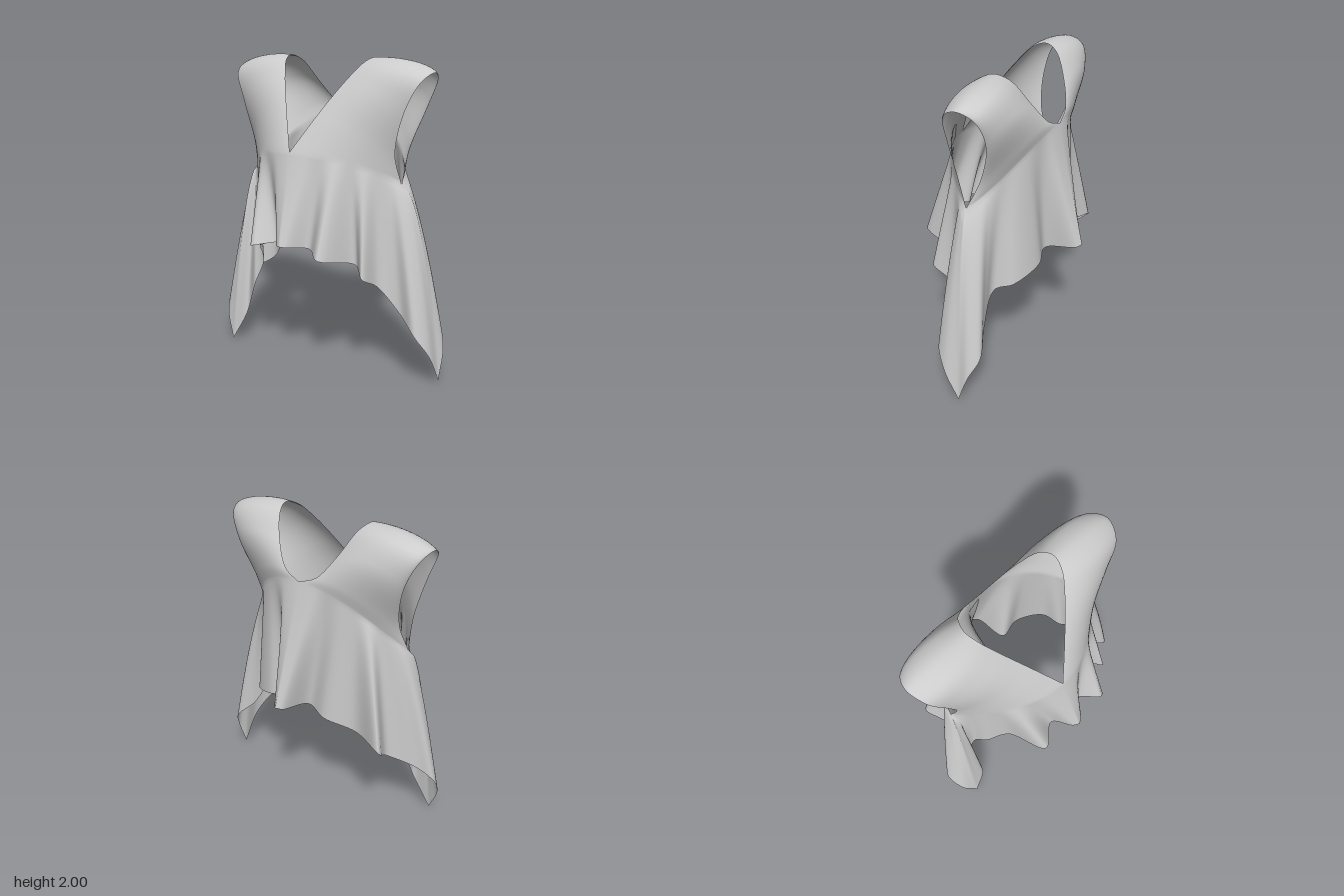
import * as THREE from 'three';
import { mergeGeometries, mergeVertices } from 'three/addons/utils/BufferGeometryUtils.js';

const CX = -0.035; // middle line of the neckline
const NU = 64, NV = 28, NT = 56;
const V = (x, y, z) => new THREE.Vector3(x, y, z);
const curve = (pts) => new THREE.CatmullRomCurve3(pts.map((p) => V(...p)));
// pulls the columns towards the side, where the hem is longest
const across = (u) => 1 - Math.pow(1 - u, 1.9);

// Edges of one half of the yoke, measured from the middle line
const neckline = curve([
  [0, 1.45, 0.36], [0.13, 1.69, 0.225], [0.24, 1.88, 0.1], [0.3, 1.975, 0.01], [0.32, 2, -0.07],
  [0.295, 1.965, -0.15], [0.22, 1.82, -0.24], [0.12, 1.69, -0.3], [0, 1.64, -0.32],
]);
const armhole = curve([
  [0.57, 1.26, 0], [0.555, 1.45, 0.06], [0.62, 1.7, 0.08], [0.7, 1.87, 0.045], [0.735, 1.925, -0.06],
  [0.71, 1.88, -0.15], [0.635, 1.72, -0.175], [0.56, 1.45, -0.09], [0.57, 1.26, 0],
]);

// Seam at bust height: a rounded quarter from the middle to the underarm
const seam = (y, z, power) => (s) => {
  const c = 1 - s * s;
  return V(0.57 * s, 1.26 + (y - 1.26) * Math.pow(c, 0.75), z * Math.pow(c, power));
};
const chest = seam(1.45, 0.36, 0.9);
const back = seam(1.64, -0.32, 0.6);
// how far a seam bows out from the straight line between its ends
const bow = (edge, s) => edge(s).sub(edge(0).lerp(edge(1), s));

// Folds in the middle of the hem, the same on both sides
const frontFolds = [
  [0, 0.9, 0.52], [0.04, 0.895, 0.495], [0.12, 0.875, 0.38], [0.26, 0.85, 0.48], [0.36, 0.78, 0.23],
];
const backFolds = [
  [0, 0.86, -0.52], [0.035, 0.85, -0.49], [0.08, 0.82, -0.3], [0.23, 0.79, -0.33], [0.42, 0.73, -0.25],
];

// Hanging corners of the hem, ending in a shared tip on each side
const corners = [
  {
    side: 1, tip: [0.805, 0.02, -0.06],
    front: [[0.46, 0.73, 0.31], [0.48, 0.64, 0.16], [0.6, 0.47, 0.09], [0.72, 0.36, 0.12], [0.79, 0.22, 0.05]],
    rear: [[0.47, 0.68, -0.14], [0.6, 0.48, -0.14], [0.73, 0.35, -0.185], [0.795, 0.22, -0.13]],
  },
  {
    side: -1, tip: [0.7, 0, 0.22],
    front: [[0.48, 0.72, 0.15], [0.53, 0.58, 0.06], [0.6, 0.4, 0.08], [0.59, 0.22, 0.18]],
    rear: [[0.64, 0.7, -0.31], [0.58, 0.56, -0.13], [0.72, 0.46, 0], [0.81, 0.37, 0.06], [0.785, 0.2, 0.17]],
  },
];

// Grid surface from a point rule; flip reverses the facing
function sheet(nu, nv, point, flip) {
  const pos = [], idx = [];
  for (let j = 0; j <= nv; j++) {
    for (let i = 0; i <= nu; i++) pos.push(...point(i / nu, j / nv).toArray());
  }
  for (let j = 0; j < nv; j++) {
    for (let i = 0; i < nu; i++) {
      const a = j * (nu + 1) + i, b = a + 1, c = a + nu + 1, d = c + 1;
      if (flip) idx.push(a, c, b, b, c, d);
      else idx.push(a, b, c, b, d, c);
    }
  }
  const g = new THREE.BufferGeometry();
  g.setAttribute('position', new THREE.Float32BufferAttribute(pos, 3));
  g.setIndex(idx);
  return g;
}

const place = (p, side) => V(CX + side * p.x, p.y, p.z);

// Half of the yoke: ruled from neck to arm over the shoulder, bowing out towards both seams
function yoke(side) {
  return sheet(NU, NT, (u, t) => {
    const s = across(u);
    const p = neckline.getPoint(t).lerp(armhole.getPoint(t), s);
    p.addScaledVector(bow(chest, s), Math.pow(1 - t, 2.5));
    p.addScaledVector(bow(back, s), Math.pow(t, 2.5));
    return place(p, side);
  }, side < 0);
}

// Quarter of the draped lower part, with folds that deepen towards the hem
function drape(side, top, hemPoints, flip) {
  const hem = curve(hemPoints);
  return sheet(NU, NV, (u, v) => {
    const a = place(top(across(u)), side);
    const b = hem.getPoint(u);
    const k = Math.pow(v, 1 - 0.48 * u * u * u);
    return V(
      THREE.MathUtils.lerp(a.x, side * b.x, k),
      THREE.MathUtils.lerp(a.y, b.y, v),
      THREE.MathUtils.lerp(a.z, b.z, k),
    );
  }, flip);
}

export function createModel() {
  const group = new THREE.Group();
  group.name = 'drapedTop';
  const panels = corners.flatMap(({ side, tip, front, rear }) => [
    yoke(side),
    drape(side, chest, [...frontFolds, ...front, tip], side > 0),
    drape(side, back, [...backFolds, ...rear, tip], side < 0),
  ]);
  // welded into one cloth so that the shading runs smoothly over the seams
  const cloth = mergeVertices(mergeGeometries(panels), 1e-4);
  cloth.computeVertexNormals();
  const material = new THREE.MeshStandardMaterial({ color: 0xcccccc, side: THREE.DoubleSide });
  const mesh = new THREE.Mesh(cloth, material);
  mesh.name = 'cloth';
  group.add(mesh);
  return group;
}
